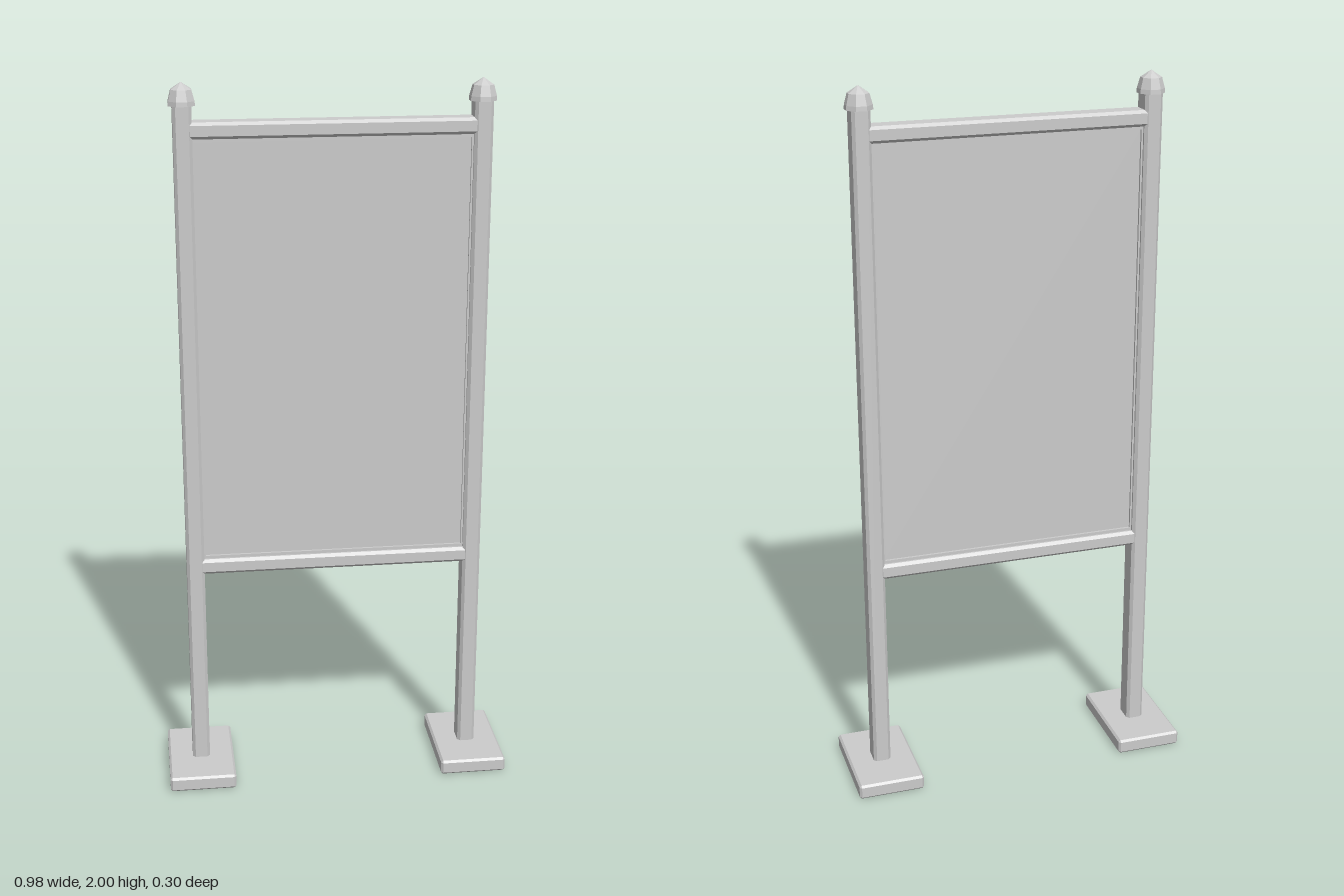
import * as THREE from 'three';
import { ConvexGeometry } from 'three/addons/geometries/ConvexGeometry.js';

const material = new THREE.MeshStandardMaterial({ color: 0xcccccc, flatShading: true });

// Box with every edge cut at 45 degrees
function chamferBox(w, h, d, c) {
  const points = [];
  for (const sx of [-1, 1]) for (const sy of [-1, 1]) for (const sz of [-1, 1]) {
    for (let full = 0; full < 3; full++) {
      const half = [w / 2, h / 2, d / 2].map((v, i) => (i === full ? v : v - c));
      points.push(new THREE.Vector3(sx * half[0], sy * half[1], sz * half[2]));
    }
  }
  return new ConvexGeometry(points);
}

function add(parent, name, geometry, x, y, z = 0) {
  const mesh = new THREE.Mesh(geometry, material);
  mesh.name = name;
  mesh.position.set(x, y, z);
  parent.add(mesh);
  return mesh;
}

export function createModel() {
  const group = new THREE.Group();
  group.name = 'signStand';

  const postX = 0.396;
  const base = chamferBox(0.19, 0.043, 0.296, 0.006);
  const post = chamferBox(0.05, 1.92, 0.064, 0.008);

  // Faceted post cap: tapered collar, shoulder and low point
  const cap = new THREE.LatheGeometry([
    [0, 1.94], [0.038, 1.94], [0.037, 1.952], [0.029, 1.981], [0, 2],
  ].map(([r, y]) => new THREE.Vector2(r, y)), 8, Math.PI / 8);

  for (const [side, s] of [['left', 1], ['right', -1]]) {
    add(group, side + 'Base', base, s * postX, 0.0215);
    add(group, side + 'Post', post, s * postX, 0.99);
    add(group, side + 'PostCap', cap, s * postX, 0);
  }

  // Rails between the posts
  const rail = chamferBox(0.77, 0.044, 0.062, 0.008);
  add(group, 'topRail', rail, 0, 1.877);
  add(group, 'bottomRail', rail, 0, 0.65);

  // Thin retaining frame around the panel
  const frame = new THREE.Group();
  frame.name = 'panelFrame';
  group.add(frame);
  for (const s of [-1, 1]) {
    add(frame, 'frameSide', new THREE.BoxGeometry(0.012, 1.19, 0.036), s * 0.372, 1.2635);
    add(frame, 'frameEdge', new THREE.BoxGeometry(0.75, 0.012, 0.036), 0, 1.2635 + s * 0.589);
  }

  // Display panel
  add(group, 'displayPanel', new THREE.BoxGeometry(0.744, 1.18, 0.022), 0, 1.2635);

  return group;
}
